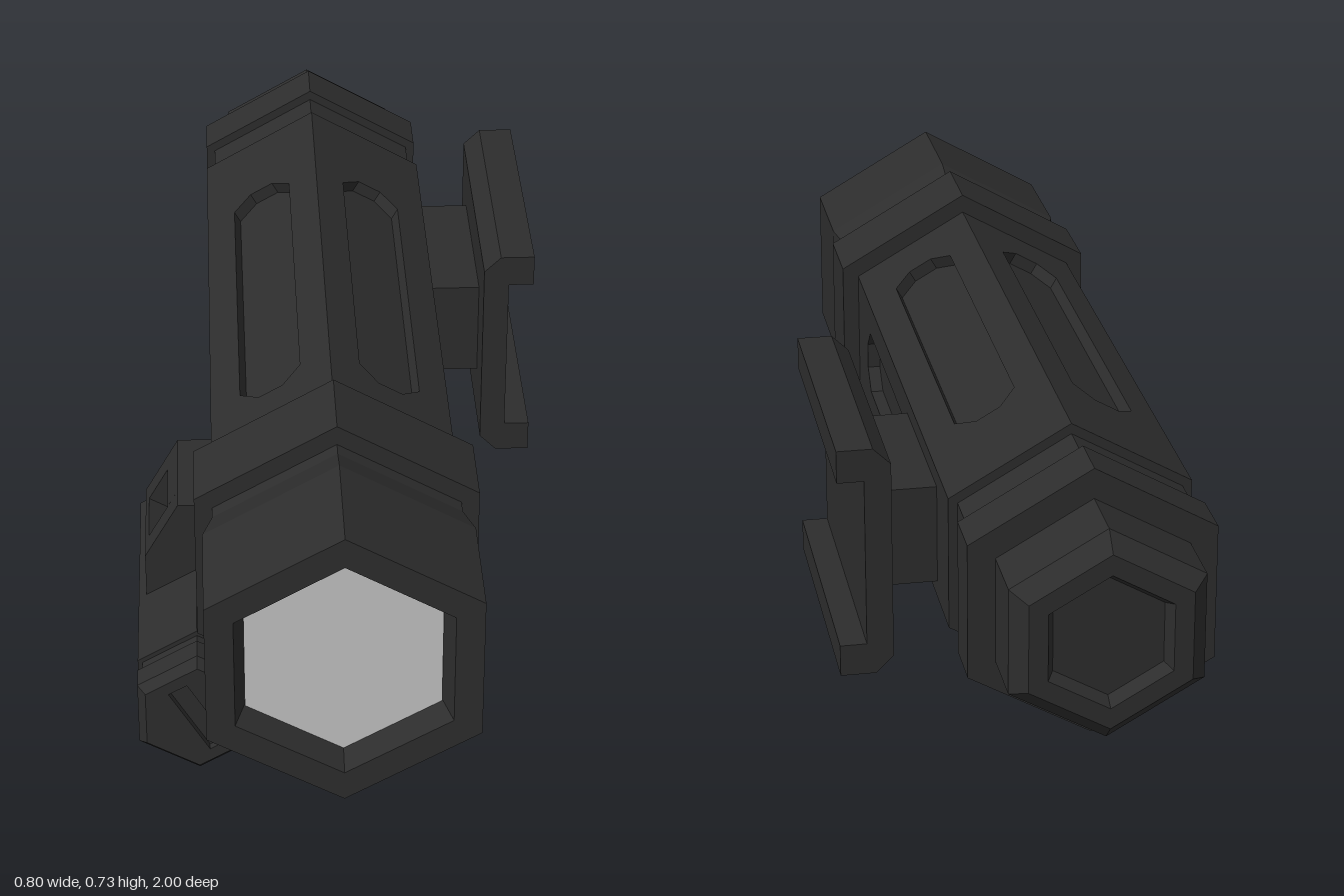
import * as THREE from 'three';

const black = new THREE.MeshStandardMaterial({ color: 0x2d2d2d });
black.name = 'matte black';
const glass = new THREE.MeshStandardMaterial({ color: 0xc4c4c4 });
glass.name = 'pale lens';

const shapeOf = (pts) => new THREE.Shape(pts.map(([x, y]) => new THREE.Vector2(x, y)));

function add(parent, name, geometry, material = black) {
  const mesh = new THREE.Mesh(geometry, material);
  mesh.name = name;
  parent.add(mesh);
  return mesh;
}

// Six-sided turned part along z: profile of [vertex radius, z] from back to front
function hexTurned(profile) {
  const g = new THREE.LatheGeometry(profile.map(([r, z]) => new THREE.Vector2(r, z)), 6);
  g.rotateX(Math.PI / 2);
  const flat = g.toNonIndexed();
  flat.computeVertexNormals();
  return flat;
}

// Profile in x/y swept from z0 to z1
function swept(shape, z0, z1) {
  const g = new THREE.ExtrudeGeometry(shape, { depth: z1 - z0, bevelEnabled: false });
  return g.translate(0, 0, z0);
}

// Body side panel with a long chamfered slot, outer face at the given apothem
function slottedPanel(width, z0, z1, apothem, depth) {
  const w = width / 2;
  const shape = shapeOf([[-w, z0], [w, z0], [w, z1], [-w, z1]]);
  const s = 0.066, c = 0.04, a = -0.42, b = 0.38;
  shape.holes.push(new THREE.Path([
    [-s, a + c], [-s, b - c], [-s + c, b], [s - c, b],
    [s, b - c], [s, a + c], [s - c, a], [-s + c, a],
  ].map(([x, y]) => new THREE.Vector2(x, y))));
  return swept(shape, 0, depth).rotateX(Math.PI / 2).translate(0, apothem, 0);
}

export function createModel() {
  const model = new THREE.Group();
  model.name = 'tacticalFlashlight';

  // Main light
  const light = new THREE.Group();
  light.name = 'mainLight';
  light.position.set(-0.026, 0.428, 0);
  model.add(light);

  add(light, 'head', hexTurned([
    [0, 0.66], [0.262, 0.66], [0.262, 0.7], [0.283, 0.77], [0.283, 1],
    [0.224, 1], [0.203, 0.95], [0, 0.95],
  ]));
  add(light, 'lens', hexTurned([[0, 0.95], [0.203, 0.95], [0.203, 0.955], [0, 0.955]]), glass);
  add(light, 'collar', hexTurned([[0, 0.51], [0.3, 0.51], [0.3, 0.67], [0, 0.67]]));
  add(light, 'bodyCore', hexTurned([[0, -0.63], [0.233, -0.63], [0.233, 0.66], [0, 0.66]]));
  for (let i = 0; i < 6; i++) {
    const panel = add(light, 'bodyPanel', slottedPanel(0.262, -0.64, 0.66, 0.227, 0.025));
    panel.rotation.z = Math.PI / 6 + i * Math.PI / 3;
  }
  add(light, 'tailNeck', hexTurned([[0, -0.75], [0.242, -0.75], [0.242, -0.62], [0, -0.62]]));
  add(light, 'tailRing', hexTurned([[0, -0.84], [0.262, -0.84], [0.262, -0.74], [0, -0.74]]));
  add(light, 'tailCap', hexTurned([
    [0, -0.975], [0.115, -0.975], [0.13, -1], [0.17, -1],
    [0.204, -0.965], [0.204, -0.83], [0, -0.83],
  ]));

  // Rail mount on the left side
  add(model, 'mountBlock', new THREE.BoxGeometry(0.11, 0.195, 0.35).translate(0.25, 0.428, -0.337));
  add(model, 'railClamp', swept(shapeOf([
    [0.3, 0.233], [0.333, 0.2], [0.4, 0.2], [0.4, 0.262], [0.35, 0.262],
    [0.35, 0.592], [0.4, 0.592], [0.4, 0.655], [0.333, 0.655], [0.3, 0.623],
  ]), -0.61, -0.055));

  // Small side light
  const small = new THREE.Group();
  small.name = 'sideLight';
  small.position.set(-0.2875, 0.131, 0);
  model.add(small);
  add(small, 'sideLightBody', hexTurned([
    [0, 0.17], [0.085, 0.17], [0.095, 0.11], [0.13, 0.11], [0.13, 0.64], [0, 0.64],
  ]));
  add(small, 'sideLightNeck', hexTurned([[0, 0.63], [0.12, 0.63], [0.12, 0.68], [0, 0.68]]));
  add(small, 'sideLightCap', hexTurned([
    [0, 0.67], [0.13, 0.67], [0.13, 0.717], [0.113, 0.735], [0.113, 0.72], [0, 0.72],
  ]));

  // Cap face with a slanted coin slot
  const face = shapeOf(Array.from({ length: 6 }, (_, i) => {
    const a = Math.PI / 6 + i * Math.PI / 3;
    return [0.113 * Math.cos(a), 0.113 * Math.sin(a)];
  }));
  const turn = new THREE.Vector2();
  face.holes.push(new THREE.Path([[-0.02, -0.075], [-0.02, 0.075], [0.02, 0.075], [0.02, -0.075]]
    .map(([x, y]) => new THREE.Vector2(x, y).rotateAround(turn, Math.PI / 6))));
  add(small, 'sideLightCapFace', swept(face, 0.719, 0.735));

  // Bracket joining both lights, with a window sunk into its slanted face
  const foot = [[-0.252, 0.41], [-0.24, 0.41], [-0.24, 0.25], [-0.252, 0.18], [-0.385, 0.18], [-0.385, 0.295]];
  const solid = shapeOf([...foot, [-0.32, 0.41]]);
  const sunk = shapeOf([...foot, [-0.378, 0.307], [-0.343, 0.287], [-0.305, 0.354], [-0.34, 0.375], [-0.32, 0.41]]);
  add(model, 'bracketEnd', swept(solid, 0.21, 0.26));
  add(model, 'bracketMiddle', swept(sunk, 0.26, 0.39));
  add(model, 'bracketEnd', swept(solid, 0.39, 0.44));

  return model;
}
